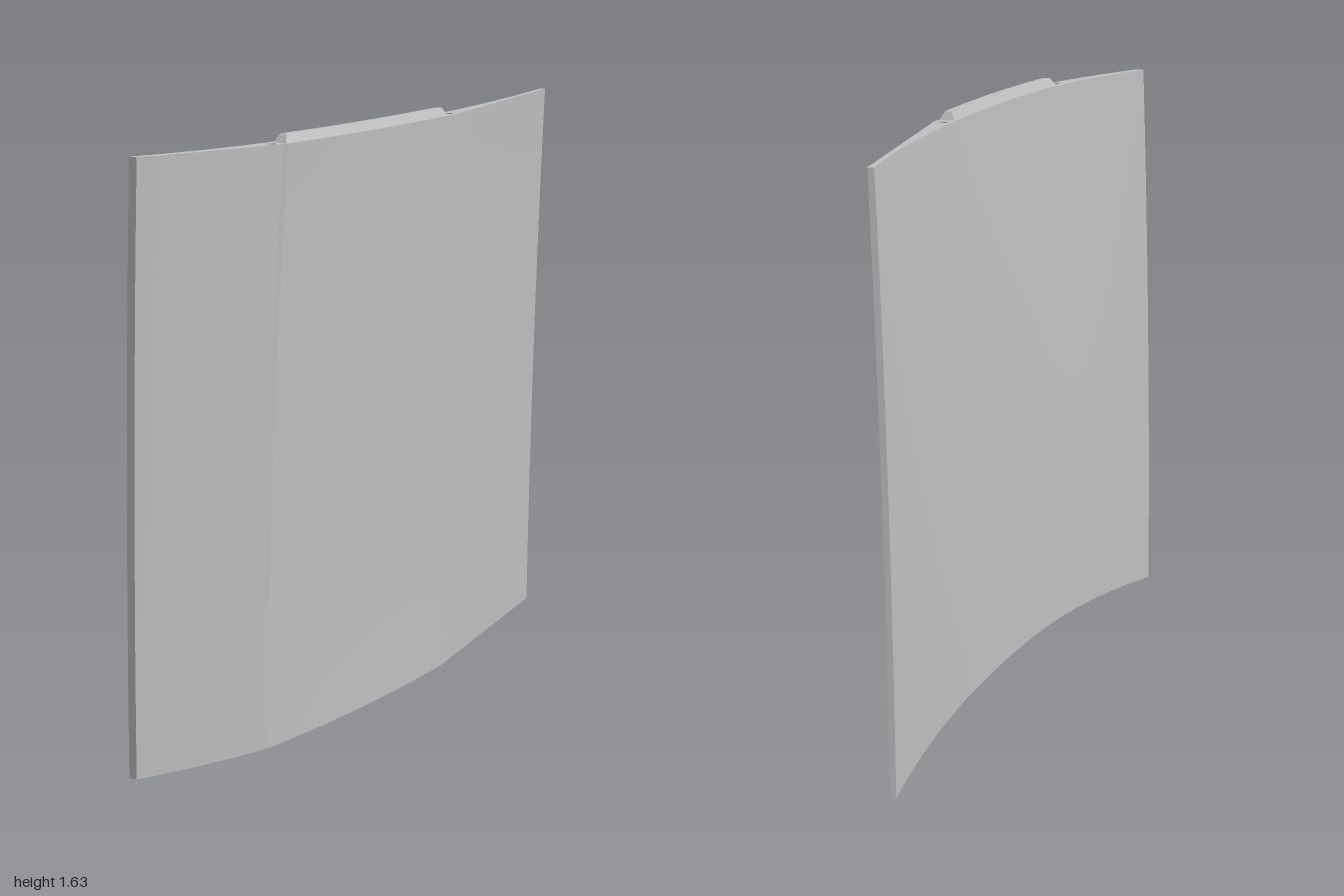
import * as THREE from 'three';
import { toCreasedNormals } from 'three/addons/utils/BufferGeometryUtils.js';

const H = 1.61;
const lerp = THREE.MathUtils.lerp;

// Sideways lean of the panel at height y (zero at the top)
const lean = (y) => 0.006 * y + 0.011 * y * y - 0.038;
// Height-dependent positions of the lap step and the rear edge
const stepZ = (y) => 0.63 - 0.0212 * y * y;
const rearZ = (y) => -0.985 - 0.015 * (y / H);

// Thickness profile: inner (concave) and outer (convex) faces
const inner = (z) => 0.058 - 0.132 * (z < 0.2 ? ((0.2 - z) / 1.2) ** 2 : ((z - 0.2) / 0.8) ** 2.5);
const outer = (z) => (z < -0.25 ? lerp(-0.057, 0.09, (z + 1) / 0.75) : 0.11 - 0.1 * (z - 0.2) ** 2);
const middle = (z) => (inner(z) + outer(z)) / 2;

// Closed loops of [x, z], counter-clockwise seen from above
function panelLoop(y) {
  const s = stepZ(y), r = rearZ(y), pts = [];
  for (let i = 0; i <= 8; i++) {
    const t = 1 - i / 8;
    pts.push([0.088 - 0.138 * (0.7 * t + 0.3 * t * t), lerp(s, 1, t)]);
  }
  for (let i = 0; i <= 16; i++) {
    const z = lerp(s - 0.012, -0.25, i / 16);
    pts.push([outer(z), z]);
  }
  pts.push([outer(r), r]);
  for (let i = 0; i <= 32; i++) {
    const z = lerp(r + 0.006, 1, i / 32);
    pts.push([inner(z), z]);
  }
  return pts.map(([x, z]) => [x + lean(y), z]);
}

function bandLoop(y, half, z0, z1) {
  const pts = [];
  for (const side of [1, -1]) {
    for (let i = 0; i <= 14; i++) {
      const z = side > 0 ? lerp(z1, z0, i / 14) : lerp(z0, z1, i / 14);
      pts.push([middle(z) + side * half + lean(y), z]);
    }
  }
  return pts;
}

function circleLoop(y, z, radius) {
  return Array.from({ length: 20 }, (_, i) => {
    const a = (i / 20) * Math.PI * 2;
    return [middle(z) + lean(y) + radius * Math.cos(a), z - radius * Math.sin(a)];
  });
}

// Skin through stacked rings; low to high faces outward, high to low inward
function skin(rings) {
  const n = rings[0].loop.length, pos = [], index = [];
  for (const { y, loop } of rings) for (const [x, z] of loop) pos.push(x, y, z);
  for (let k = 0; k < rings.length - 1; k++) {
    for (let i = 0; i < n; i++) {
      const a = k * n + i, b = k * n + (i + 1) % n;
      index.push(a, b, b + n, a, b + n, a + n);
    }
  }
  const g = new THREE.BufferGeometry();
  g.setAttribute('position', new THREE.Float32BufferAttribute(pos, 3));
  g.setIndex(index);
  return toCreasedNormals(g, 0.3);
}

// Flat face at height y with optional holes
function flat(loop, y, up = true, holes = []) {
  const vec = (l) => l.map(([x, z]) => new THREE.Vector2(x, -z));
  const shape = new THREE.Shape(vec(loop));
  shape.holes = holes.map((h) => new THREE.Path(vec(h)));
  const g = new THREE.ShapeGeometry(shape);
  g.rotateX(-Math.PI / 2);
  if (!up) {
    g.index.array.reverse();
    const nrm = g.attributes.normal;
    for (let i = 0; i < nrm.count; i++) nrm.setY(i, -1);
  }
  g.translate(0, y, 0);
  return g;
}

export function createModel() {
  const group = new THREE.Group();
  const grey = new THREE.MeshStandardMaterial({ color: 0xc0c0c0 });
  grey.name = 'light grey';
  const add = (name, geometry) => {
    const mesh = new THREE.Mesh(geometry, grey);
    mesh.name = name;
    group.add(mesh);
  };

  // Curved panel wall
  const rings = Array.from({ length: 17 }, (_, k) => {
    const y = (H * k) / 16;
    return { y, loop: panelLoop(y) };
  });
  add('panelWall', skin(rings));

  // Recess: inward wall and floor
  const pit = (name, loop, mouth, floor) => {
    const ends = [{ y: mouth, loop }, { y: floor, loop }];
    add(name + 'Wall', skin(ends.sort((a, b) => b.y - a.y)));
    add(name + 'Floor', flat(loop, floor, floor < mouth));
  };

  // Pin holes in both edges, groove along the bottom edge
  const holesAt = (y) => [-0.25, 0.6].map((z) => circleLoop(y, z, 0.014));
  const topHoles = holesAt(H), bottomHoles = holesAt(0);
  const groove = bandLoop(0, 0.02, -0.21, 0.56);
  topHoles.forEach((l) => pit('topPinHole', l, H, H - 0.06));
  bottomHoles.forEach((l) => pit('bottomPinHole', l, 0, 0.06));
  pit('bottomGroove', groove, 0, 0.025);

  // Edge faces
  add('topEdge', flat(panelLoop(H), H, true, topHoles));
  add('bottomEdge', flat(panelLoop(0), 0, false, [...bottomHoles, groove]));

  // Tapered tongue on the top edge
  const base = bandLoop(H, 0.02, -0.21, 0.565);
  const crest = bandLoop(H, 0.01, -0.195, 0.55);
  add('tongueSides', skin([{ y: H, loop: base }, { y: H + 0.022, loop: crest }]));
  add('tongueCrest', flat(crest, H + 0.022));

  return group;
}
